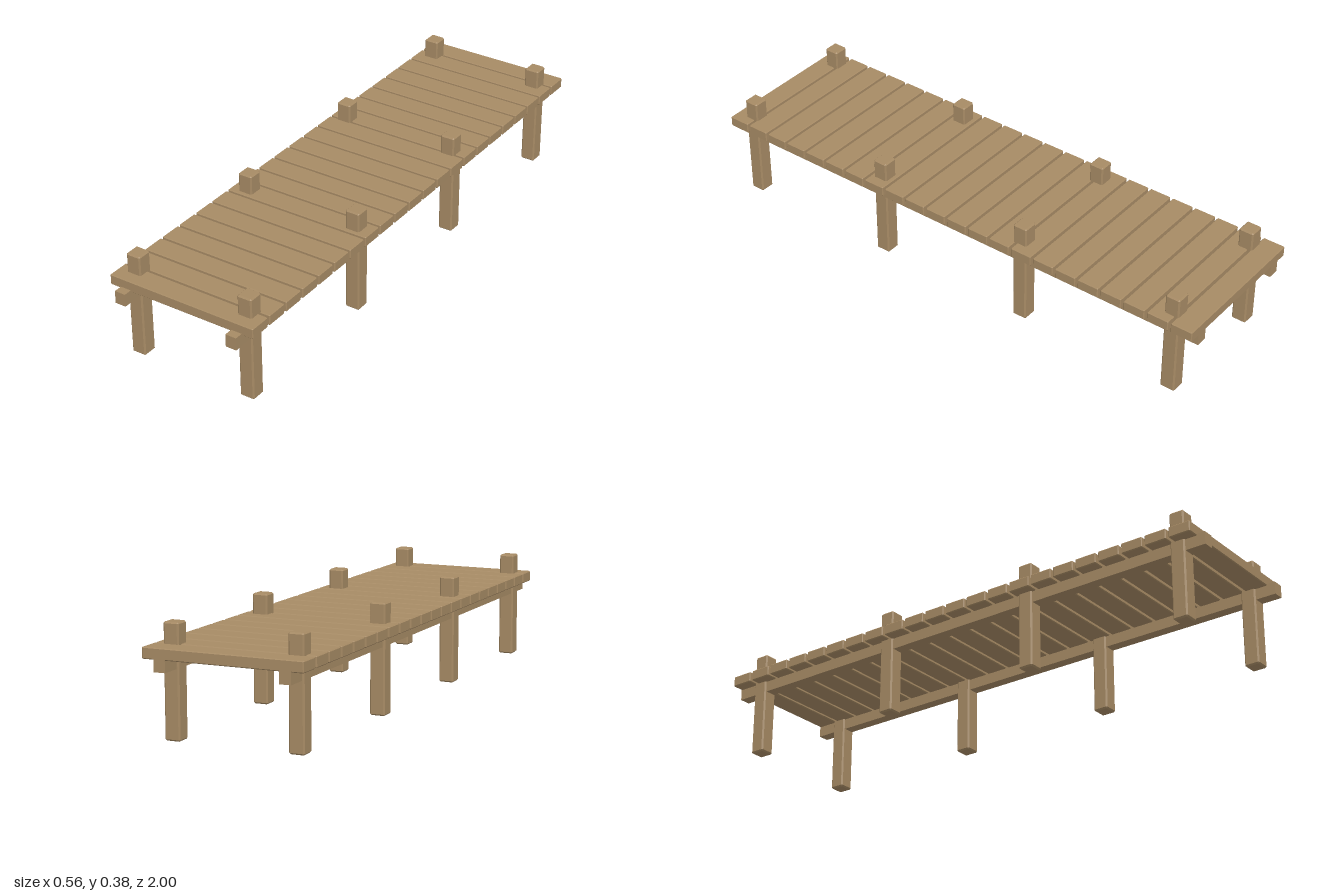
import * as THREE from 'three';
import { ConvexGeometry } from 'three/addons/geometries/ConvexGeometry.js';

// Box with every edge cut by a small flat chamfer
function chamferBox(w, h, d, c) {
  const points = [];
  for (const x of [-w / 2, w / 2])
    for (const y of [-h / 2, h / 2])
      for (const z of [-d / 2, d / 2]) {
        const cx = Math.sign(x) * c, cy = Math.sign(y) * c, cz = Math.sign(z) * c;
        points.push(
          new THREE.Vector3(x, y - cy, z - cz),
          new THREE.Vector3(x - cx, y, z - cz),
          new THREE.Vector3(x - cx, y - cy, z)
        );
      }
  return new ConvexGeometry(points);
}

export function createModel() {
  const dock = new THREE.Group();
  dock.name = 'dock';
  const wood = new THREE.MeshStandardMaterial({ color: 0xa68a64 });
  wood.name = 'weathered wood';

  const add = (geometry, name, x, y, z) => {
    const mesh = new THREE.Mesh(geometry, wood);
    mesh.name = name;
    mesh.position.set(x, y, z);
    dock.add(mesh);
  };

  // Deck planks laid across the dock
  const plank = chamferBox(0.558, 0.038, 0.08, 0.003);
  for (let i = 0; i < 22; i++) add(plank, 'deckPlank', 0, 0.291, -0.96 + i * 0.09);

  // Long beams under the deck and posts rising through it
  const beam = new THREE.BoxGeometry(0.04, 0.045, 2);
  const post = chamferBox(0.054, 0.38, 0.054, 0.005);
  for (const side of [-1, 1]) {
    add(beam, side > 0 ? 'leftBeam' : 'rightBeam', side * 0.217, 0.2555, 0);
    for (const z of [-0.9, -0.3, 0.3, 0.9])
      add(post, side > 0 ? 'leftPost' : 'rightPost', side * 0.217, 0.19, z);
  }
  return dock;
}
